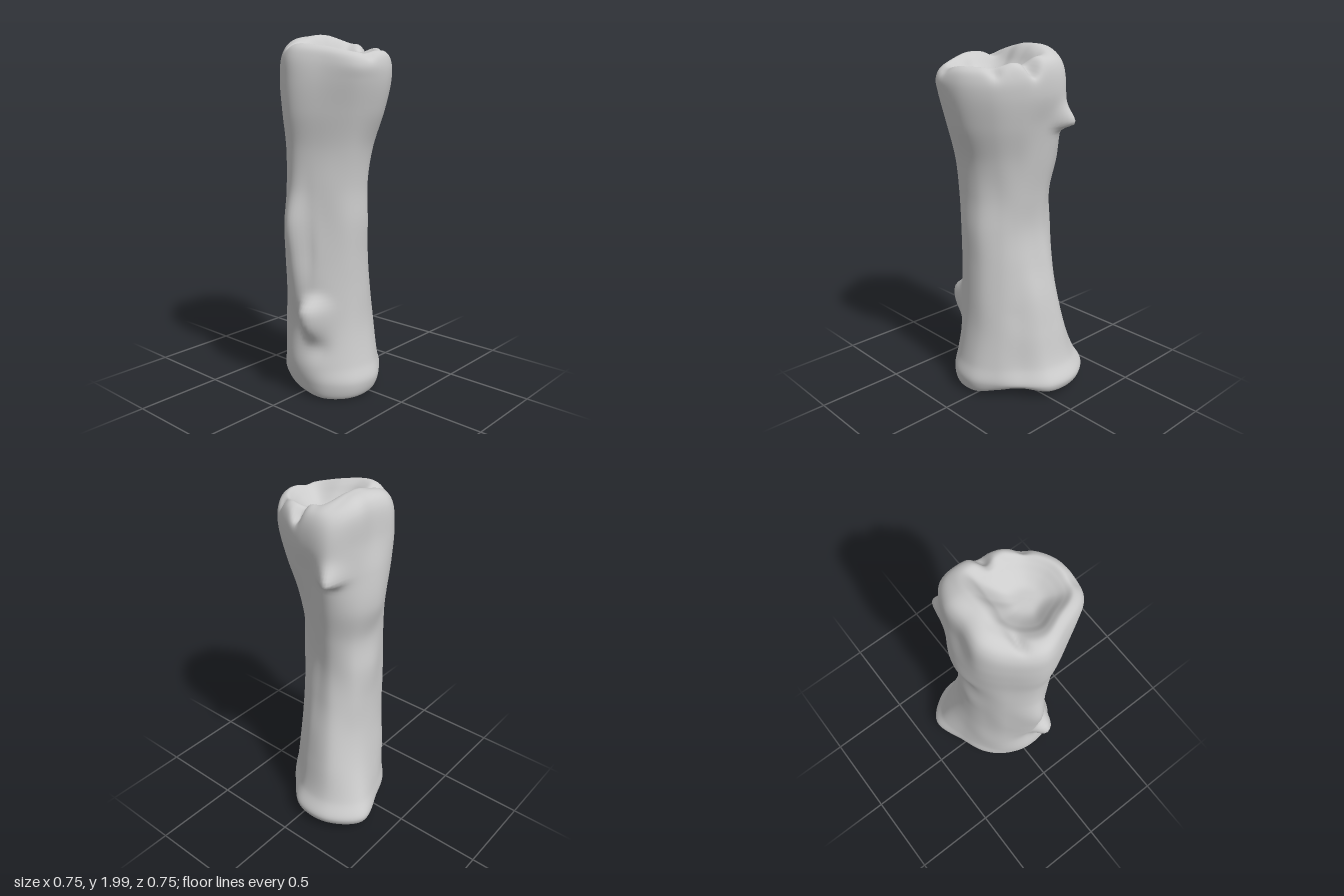
import * as THREE from 'three';
import { mergeVertices } from 'three/addons/utils/BufferGeometryUtils.js';

const SPOKES = 12, COLS = 108, ROWS = 190;

// Radii at 12 directions (from +x, by way of the front) for each height of the shaft
const shaft = [
  [0.10, [.31, .33, .325, .295, .28, .285, .31, .435, .42, .365, .28, .27]],
  [0.20, [.285, .305, .315, .31, .285, .275, .30, .385, .37, .315, .25, .255]],
  [0.40, [.25, .275, .29, .285, .28, .27, .27, .31, .325, .275, .23, .23]],
  [0.60, [.24, .265, .29, .32, .28, .25, .245, .265, .28, .24, .205, .21]],
  [0.80, [.235, .265, .285, .35, .285, .24, .235, .25, .235, .19, .18, .195]],
  [1.00, [.24, .27, .285, .37, .28, .24, .24, .24, .20, .16, .16, .185]],
  [1.20, [.235, .27, .295, .33, .275, .24, .225, .23, .21, .175, .17, .185]],
  [1.40, [.26, .295, .305, .325, .275, .26, .27, .27, .25, .205, .195, .22]],
  [1.60, [.33, .345, .335, .35, .295, .28, .265, .27, .285, .24, .245, .28]],
  [1.76, [.365, .385, .345, .355, .305, .285, .24, .265, .31, .275, .275, .315]],
];
const topRim = [.365, .395, .335, .345, .295, .27, .225, .26, .295, .27, .275, .315];
const topHeight = [1.91, 1.90, 1.93, 1.945, 1.945, 1.98, 1.995, 1.995, 1.96, 1.95, 1.92, 1.91];
const bottomRim = [.29, .315, .31, .28, .265, .27, .29, .415, .40, .355, .265, .255];
const bottomHeight = [.02, .01, .01, .03, .05, .06, .05, .04, .04, .05, .07, .05];

// Local swellings and dents: centre, spread (x, up, down, z), push; a higher power is blunter
const features = [
  { at: [.10, .505, .27], spread: [.068, .08, .14, .3], push: [.01, 0, .092], power: 1.5 },  // front knob
  { at: [.13, .30, .26], spread: [.06, .07, .07, .1], push: [0, 0, -.02], power: 1 },   // hollow under knob
  { at: [.075, .88, .27], spread: [.03, .25, .2, .1], push: [0, 0, -.025], power: 1 },  // front groove
  { at: [-.15, 1.61, -.24], spread: [.055, .075, .035, .1], push: [-.03, -.01, -.075], power: 1 }, // back spur
  { at: [.06, 1.93, -.23], spread: [.035, .06, .07, .07], push: [0, -.06, .02], power: 1 },     // rim notches
  { at: [.25, 1.92, -.17], spread: [.03, .05, .06, .05], push: [-.01, -.03, .01], power: 1 },
  { at: [.35, 1.9, .12], spread: [.04, .06, .05, .04], push: [0, -.02, 0], power: 1 },
  { at: [-.07, 1.95, .22], spread: [.025, .05, .08, .06], push: [0, -.025, 0], power: 1 },
  { at: [-.09, 1.95, -.04], spread: [.05, .08, .08, .18], push: [0, .015, 0], power: 2 },       // broad side lobe
  { at: [.16, 1.92, -.2], spread: [.035, .05, .06, .05], push: [0, .015, 0], power: 1 },        // rim peak
];

function spokePoint(radius, k, y) {
  const a = (k / SPOKES) * Math.PI * 2;
  return new THREE.Vector3(Math.cos(a) * radius, y, Math.sin(a) * radius);
}

// A ring drawn inward from a rim: t = 0 at the rim, 1 at the hollow's centre
function hollowRing(rim, centre, t, height) {
  return rim.map((r, k) => {
    const p = spokePoint(r, k, 0).lerp(centre, t);
    p.y = height(k);
    return p;
  });
}

function buildRings() {
  const low = new THREE.Vector3(-.04, 0, -.04), high = new THREE.Vector3(.14, 0, .04);
  const rings = [];
  // Hollow lower end, from its deepest point out to the lip
  for (const [t, mix, add] of [[1, 1, 0], [.78, 1, -.01], [.55, .8, 0], [.34, .35, 0], [.15, 0, .005], [.03, 0, .005]]) {
    rings.push(hollowRing(bottomRim, low, t, k => THREE.MathUtils.lerp(bottomHeight[k] + add, .17 + add, mix)));
  }
  for (const [y, radii] of shaft) rings.push(radii.map((r, k) => spokePoint(r, k, y)));
  // Rounded upper rim and the cup inside it
  for (const [t, mix, drop] of [[0, 0, .07], [.08, 0, .02], [.22, 0, 0], [.36, 0, .02], [.52, .45, .02], [.75, .95, 0], [1, 1, 0]]) {
    rings.push(hollowRing(topRim, high, t, k => THREE.MathUtils.lerp(topHeight[k] - drop, 1.82, mix)));
  }
  return rings;
}

function applyFeatures(p) {
  const move = new THREE.Vector3();
  for (const { at, spread, push, power } of features) {
    const dx = (p.x - at[0]) / spread[0];
    const dy = (p.y - at[1]) / (p.y > at[1] ? spread[1] : spread[2]);
    const dz = (p.z - at[2]) / spread[3];
    const falloff = Math.exp(-Math.pow(dx * dx + dy * dy + dz * dz, power));
    move.addScaledVector(new THREE.Vector3(...push), falloff);
  }
  return p.add(move);
}

function boneGeometry() {
  const loops = buildRings().map(ring => new THREE.CatmullRomCurve3(ring, true, 'catmullrom', .5));
  const positions = new Float32Array(COLS * (ROWS + 1) * 3);
  const index = [];
  for (let j = 0; j < COLS; j++) {
    const column = new THREE.CatmullRomCurve3(loops.map(l => l.getPoint(j / COLS)), false, 'centripetal');
    for (let i = 0; i <= ROWS; i++) {
      applyFeatures(column.getPoint(i / ROWS)).toArray(positions, (i * COLS + j) * 3);
      if (i === ROWS) continue;
      const next = (j + 1) % COLS;
      const a = i * COLS + j, b = i * COLS + next, c = a + COLS, d = b + COLS;
      index.push(a, c, b, b, c, d);
    }
  }
  let geometry = new THREE.BufferGeometry();
  geometry.setAttribute('position', new THREE.BufferAttribute(positions, 3));
  geometry.setIndex(index);
  geometry = mergeVertices(geometry, 1e-5);
  // Stand on the ground, centred
  geometry.computeBoundingBox();
  const { min, max } = geometry.boundingBox;
  geometry.translate(-(min.x + max.x) / 2, -min.y, -(min.z + max.z) / 2);
  geometry.computeVertexNormals();
  return geometry;
}

export function createModel() {
  const group = new THREE.Group();
  group.name = 'bone';
  const mesh = new THREE.Mesh(boneGeometry(), new THREE.MeshStandardMaterial({ color: 0xcccccc }));
  mesh.name = 'boneShaft';
  group.add(mesh);
  return group;
}
